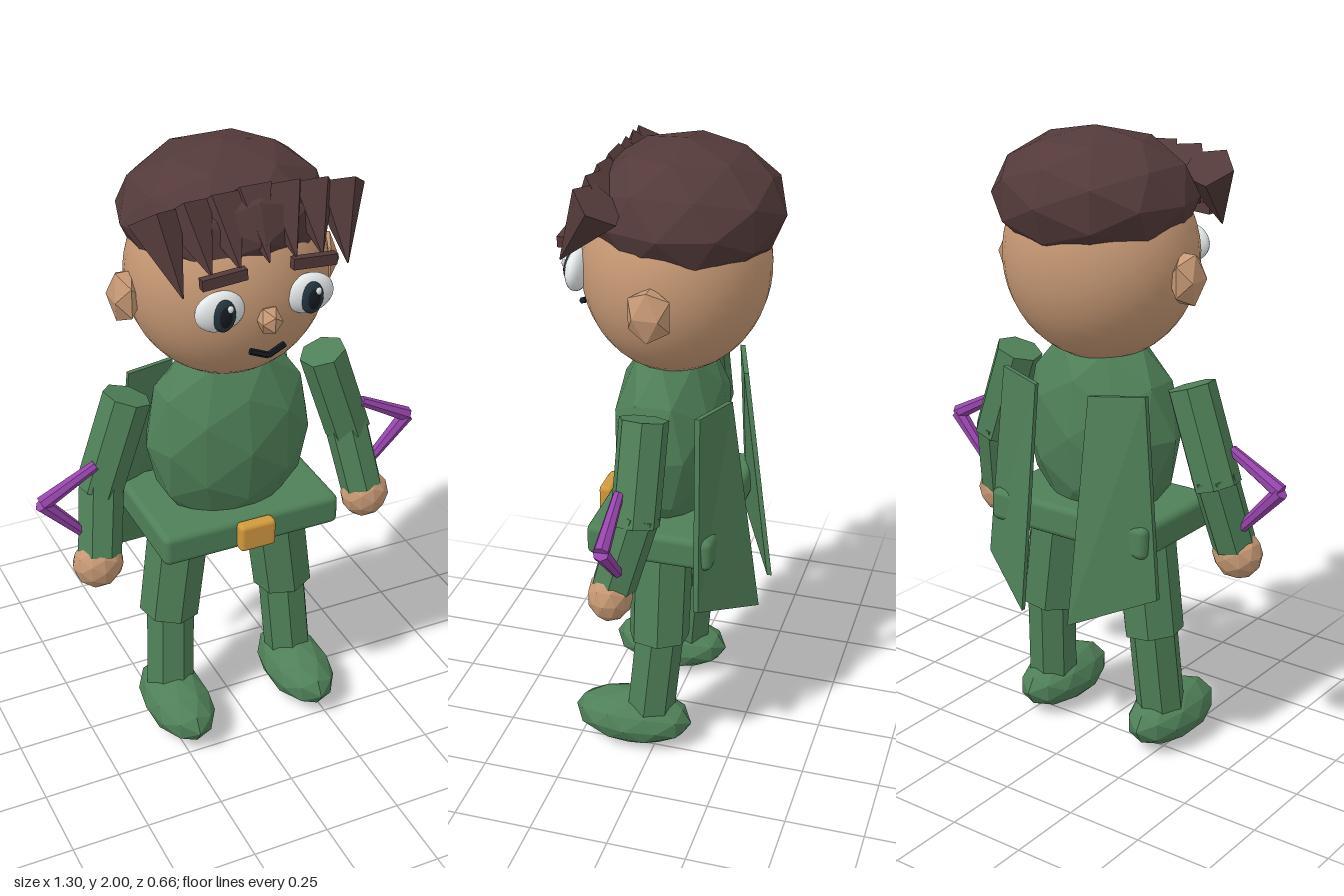
import * as THREE from 'three';
import { RoundedBoxGeometry } from 'three/addons/geometries/RoundedBoxGeometry.js';

const colour = (name, color) => {
  const m = new THREE.MeshStandardMaterial({ color });
  m.name = name;
  return m;
};

export function createModel() {
  const group = new THREE.Group();
  group.name = 'figure';

  const green = colour('green cloth', 0x4f8058);
  const skin = colour('skin', 0xc69874);
  const brown = colour('brown hair', 0x543a3a);
  const gold = colour('gold', 0xd29a3c);
  const purple = colour('purple', 0x9645ab);
  const white = colour('eye white', 0xe8ecec);
  const slate = colour('iris slate', 0x24343f);
  const black = colour('black', 0x15191e);

  const V = (x, y, z) => new THREE.Vector3(x, y, z);

  function add(name, geometry, material, x = 0, y = 0, z = 0) {
    const mesh = new THREE.Mesh(geometry, material);
    mesh.name = name;
    mesh.position.set(x, y, z);
    group.add(mesh);
    return mesh;
  }

  // Faceted normals
  function facet(geometry) {
    const g = geometry.index ? geometry.toNonIndexed() : geometry;
    g.computeVertexNormals();
    return g;
  }

  // Low-poly ellipsoid
  function blob(name, material, pos, size, detail = 1) {
    const g = new THREE.IcosahedronGeometry(1, detail);
    g.scale(...size);
    return add(name, facet(g), material, ...pos);
  }

  // Smooth ellipsoid
  function ball(name, material, pos, size, seg = 20) {
    const g = new THREE.SphereGeometry(1, seg, Math.round(seg * 0.7));
    g.scale(...size);
    return add(name, g, material, ...pos);
  }

  // Faceted tapered cylinder from a to b
  function limb(name, material, a, b, ra, rb, sides = 7) {
    const dir = b.clone().sub(a);
    const g = new THREE.CylinderGeometry(rb, ra, dir.length(), sides);
    const mesh = add(name, facet(g), material);
    mesh.position.copy(a).add(b).multiplyScalar(0.5);
    mesh.quaternion.setFromUnitVectors(V(0, 1, 0), dir.normalize());
    return mesh;
  }

  // Head and hair
  ball('head', skin, [0, 1.61, -0.005], [0.31, 0.325, 0.285], 36);
  blob('hairCap', brown, [0, 1.795, -0.035], [0.32, 0.205, 0.3]);
  const tips = [1.685, 1.735, 1.74, 1.75, 1.745, 1.735, 1.69];
  tips.forEach((tipY, i) => {
    const x = -0.285 + i * 0.095;
    const edge = Math.abs(i - 3) / 3;
    limb('fringeSpike', brown,
      V(x, 1.9 - 0.02 * edge, 0.14),
      V(x * 0.9, tipY, 0.285 - 0.015 * edge), 0.083, 0.002, 5);
  });

  // Face
  blob('nose', skin, [0, 1.572, 0.288], [0.038, 0.045, 0.048], 0);
  for (const s of [-1, 1]) {
    limb('mouth', black, V(s * 0.055, 1.478, 0.278), V(0, 1.457, 0.285), 0.01, 0.01, 6);
  }

  // Torso, belt and buckle
  blob('torso', green, [0, 1.06, 0.005], [0.275, 0.34, 0.182]);
  add('belt', new RoundedBoxGeometry(0.6, 0.105, 0.4, 2, 0.022), green, 0, 0.785, 0.002);
  add('buckle', new RoundedBoxGeometry(0.122, 0.095, 0.045, 2, 0.015), gold, 0, 0.79, 0.218);

  // Paired parts
  for (const s of [-1, 1]) {
    blob('ear', skin, [s * 0.322, 1.577, -0.015], [0.05, 0.09, 0.073], 0);

    const brow = add('eyebrow', new THREE.BoxGeometry(0.138, 0.034, 0.025), brown,
      s * 0.14, 1.728, 0.283);
    brow.rotation.z = -s * 0.07;

    ball('eyeWhite', white, [s * 0.14, 1.615, 0.258], [0.078, 0.062, 0.033]);
    ball('iris', slate, [s * 0.138, 1.611, 0.282], [0.036, 0.05, 0.017]);
    ball('pupil', black, [s * 0.138, 1.611, 0.291], [0.022, 0.034, 0.012]);
    ball('eyeHighlight', white, [s * 0.138 + 0.013, 1.636, 0.298], [0.01, 0.012, 0.006], 10);

    // Arm
    const elbow = V(s * 0.432, 0.95, 0.0);
    limb('upperArm', green, V(s * 0.33, 1.25, 0), elbow, 0.076, 0.076);
    limb('forearm', green, V(s * 0.422, 0.99, -0.005), V(s * 0.462, 0.75, 0.058), 0.072, 0.07);
    blob('hand', skin, [s * 0.47, 0.72, 0.065], [0.082, 0.083, 0.07]);

    // Bent rod beside the elbow
    const bend = V(s * 0.63, 0.965, 0.037);
    limb('elbowRod', purple, V(s * 0.455, 1.06, 0.04), bend, 0.017, 0.025, 7);
    limb('elbowRod', purple, bend, V(s * 0.5, 0.82, 0.032), 0.025, 0.017, 7);

    // Leg
    limb('thigh', green, V(s * 0.158, 0.8, -0.005), V(s * 0.207, 0.41, -0.005), 0.1, 0.098);
    limb('shin', green, V(s * 0.205, 0.43, -0.005), V(s * 0.222, 0.13, 0.022), 0.08, 0.08);
    blob('foot', green, [s * 0.222, 0.09, 0.08], [0.11, 0.09, 0.198]);

    // Slanted coat tail: a thin box with its corners moved
    const g = new THREE.BoxGeometry(2, 2, 0.016);
    const p = g.attributes.position;
    for (let i = 0; i < p.count; i++) {
      const outer = p.getX(i) * s > 0;
      const top = p.getY(i) > 0;
      const c = top
        ? (outer ? [0.27, 1.24, -0.145] : [0.1, 1.225, -0.2])
        : (outer ? [0.33, 0.605, -0.16] : [0.09, 0.505, -0.295]);
      p.setXYZ(i, s * c[0], c[1], c[2] + p.getZ(i));
    }
    add('coatTail', facet(g), green);
  }

  return group;
}
